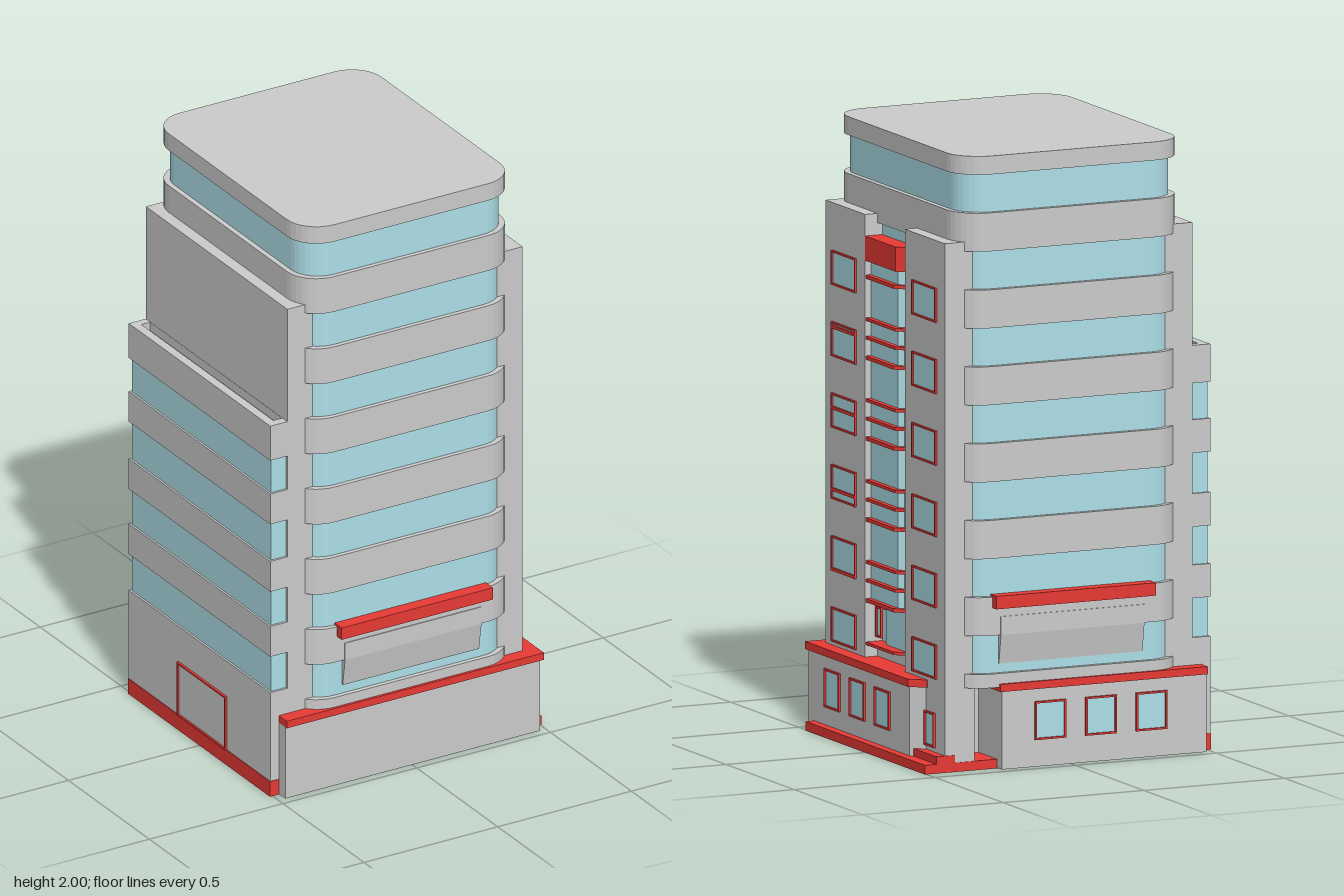
import * as THREE from 'three';

const material = (color) => new THREE.MeshStandardMaterial({ color });

export function createModel() {
  const model = new THREE.Group();
  const grey = material(0xcccccc);
  const red = material(0xe83a35);
  const glass = material(0xaee0e8);

  const add = (name, geometry, mat, parent = model) => {
    const mesh = new THREE.Mesh(geometry, mat);
    mesh.name = name;
    parent.add(mesh);
    return mesh;
  };

  // Box given by its lower and upper limits on each axis
  const box = (name, mat, [x0, x1], [y0, y1], [z0, z1], parent) => {
    const mesh = add(name, new THREE.BoxGeometry(x1 - x0, y1 - y0, z1 - z0), mat, parent);
    mesh.position.set((x0 + x1) / 2, (y0 + y1) / 2, (z0 + z1) / 2);
    return mesh;
  };

  // Floor plan of [x, z] corners raised from y0 to y1
  const planShape = (points) => new THREE.Shape(points.map(([x, z]) => new THREE.Vector2(x, -z)));
  const raise = (name, mat, shape, y0, y1) => {
    const geometry = new THREE.ExtrudeGeometry(shape, { depth: y1 - y0, bevelEnabled: false, curveSegments: 4 });
    geometry.rotateX(-Math.PI / 2);
    add(name, geometry, mat).position.y = y0;
  };

  const roundedPlan = (halfX, halfZ, r) => {
    const s = new THREE.Shape();
    const cx = -0.006, a = halfX - r, b = halfZ - r, q = Math.PI / 2;
    s.absarc(cx + a, b, r, 0, q);
    s.absarc(cx - a, b, r, q, 2 * q);
    s.absarc(cx - a, -b, r, 2 * q, 3 * q);
    s.absarc(cx + a, -b, r, 3 * q, 4 * q);
    s.closePath();
    return s;
  };

  // Pane with a frame around it, facing +z before turning
  const framedWindow = (name, w, h, x, y, z, turn, pane = glass) => {
    const group = new THREE.Group();
    group.name = name;
    const t = 0.006;
    const rect = (Type, a, b) => new Type([[-a, -b], [a, -b], [a, b], [-a, b]].map((p) => new THREE.Vector2(...p)));
    const frame = rect(THREE.Shape, w / 2, h / 2);
    frame.holes.push(rect(THREE.Path, w / 2 - t, h / 2 - t));
    add('windowFrame', new THREE.ExtrudeGeometry(frame, { depth: 0.008, bevelEnabled: false }), red, group);
    box('windowPane', pane, [-w / 2 + t, w / 2 - t], [-h / 2 + t, h / 2 - t], [-0.004, 0.002], group);
    group.position.set(x, y, z);
    group.rotation.y = turn;
    model.add(group);
  };
  const RIGHT = Math.PI / 2; // turn towards +x

  // Glazed tower with a rounded plan and solid bands
  raise('towerGlass', glass, roundedPlan(0.38, 0.46, 0.1), 0.28, 1.94);
  const bandPlan = roundedPlan(0.398, 0.476, 0.11);
  raise('roofSlab', grey, bandPlan, 1.94, 2);
  raise('lowestBand', grey, bandPlan, 0.27, 0.315);
  for (let i = 0; i < 6; i++) raise('floorBand', grey, bandPlan, 0.44 + i * 0.25, 0.565 + i * 0.25);

  // Side walls: full on one side, split by a recess on the other
  box('sideWall', grey, [-0.445, -0.345], [0.002, 1.72], [-0.438, 0.436]);
  box('frontPier', grey, [0.33, 0.435], [0.2, 1.72], [0.146, 0.436]);
  box('backPier', grey, [0.33, 0.435], [0.002, 1.72], [-0.438, -0.146]);

  // Windows on the two piers, with some cross rails
  for (let i = 0; i < 6; i++) {
    const y = 0.35 + i * 0.232;
    for (const z of [0.297, -0.293]) framedWindow('pierWindow', 0.176, 0.112, 0.434, y, z, RIGHT);
  }
  for (const y of [0.53, 0.79, 1.055, 1.318]) {
    box('windowRail', red, [0.43, 0.443], [y - 0.005, y + 0.005], [0.21, 0.384]);
  }

  // Balcony stack with one chamfered corner inside the recess
  const balcony = (x, z) => planShape([[0.36, 0.146], [x, 0.146], [x, z], [x - 0.045, z - 0.042], [0.36, z - 0.042]]);
  raise('balconyGlazing', glass, balcony(0.415, -0.055), 0.465, 1.6);
  raise('balconyCanopy', red, balcony(0.435, -0.075), 1.57, 1.65);
  for (let i = 0; i < 5; i++) {
    const y = 0.465 + i * 0.263;
    raise('balconySlab', red, balcony(0.432, -0.055), y - 0.006, y + 0.006);
    if (i === 4) break;
    raise('balconyRail', red, balcony(0.432, -0.065), y + 0.06, y + 0.07);
    raise('balconyTopRail', red, balcony(0.432, -0.065), y + 0.12, y + 0.13);
    box('balconyEndPanel', grey, [0.37, 0.4], [y + 0.006, y + 0.125], [-0.1, -0.06]);
  }
  raise('terraceRail', red, balcony(0.432, -0.055), 0.32, 0.33);
  box('terraceDoor', glass, [0.36, 0.396], [0.33, 0.465], [-0.07, 0.075]);
  for (const s of [1, -1]) framedWindow('terraceSideWindow', 0.04, 0.1, 0.392, 0.395, s * 0.125, RIGHT);

  // Lower wing with glass strips and a hollow parapet
  box('wingGlass', glass, [-0.502, -0.4], [0.3, 1.25], [-0.43, 0.428]);
  const wing = (y0, y1) => box('wingBand', grey, [-0.509, -0.4], [y0, y1], [-0.438, 0.436]);
  wing(0.002, 0.37);
  for (const y of [0.498, 0.73, 0.97]) wing(y, y + 0.108);
  wing(1.197, 1.29);
  const parapet = planShape([[-0.509, 0.436], [-0.42, 0.436], [-0.42, -0.438], [-0.509, -0.438]]);
  parapet.holes.push(new THREE.Path([[-0.479, 0.405], [-0.446, 0.405], [-0.446, -0.41], [-0.479, -0.41]]
    .map(([x, z]) => new THREE.Vector2(x, -z))));
  raise('wingParapet', grey, parapet, 1.29, 1.32);
  box('wingPlinth', red, [-0.511, -0.4], [0.001, 0.055], [-0.439, 0.438]);
  framedWindow('wingDoor', 0.3, 0.19, -0.509, 0.15, 0.02, -RIGHT, grey);

  // Ground floor block with a cut corner, and the ledge on top of it
  const basePlan = (o) => planShape([
    [-0.477, 0.476 + o], [0.476 + o, 0.476 + o], [0.476 + o, -0.262 - o], [0.436, -0.302 - o],
    [0.25 + o, -0.302 - o], [0.25 + o, -0.476 - o], [-0.477, -0.476 - o],
  ]);
  raise('baseBlock', grey, basePlan(0), 0.002, 0.256);
  raise('baseLedge', red, basePlan(0.009), 0.256, 0.281);
  box('groundPlinth', red, [-0.47, 0.506], [0, 0.03], [-0.44, 0.436]);
  box('entranceStep', red, [0.4, 0.466], [0.03, 0.055], [-0.44, -0.27]);
  for (const z of [0.297, 0.113, -0.07]) framedWindow('baseSideWindow', 0.11, 0.125, 0.476, 0.152, z, RIGHT);
  for (const x of [0.08, -0.1, -0.28]) framedWindow('baseBackWindow', 0.11, 0.125, x, 0.152, -0.476, Math.PI);
  framedWindow('entranceWindow', 0.072, 0.112, 0.435, 0.126, -0.333, RIGHT);

  // Canopy and sloped panel on front and back
  for (const s of [1, -1]) {
    box('canopy', red, [-0.283, 0.283], [0.53, 0.572], [s > 0 ? 0.46 : -0.504, s > 0 ? 0.504 : -0.46]);
    const profile = new THREE.Shape([[0.44, 0.345], [0.464, 0.345], [0.479, 0.44], [0.479, 0.5], [0.44, 0.5]]
      .map((p) => new THREE.Vector2(...p)));
    const panel = new THREE.ExtrudeGeometry(profile, { depth: 0.51, bevelEnabled: false });
    panel.translate(0, 0, -0.255).rotateY(-s * Math.PI / 2);
    add('slopedPanel', panel, grey);
  }

  return model;
}
